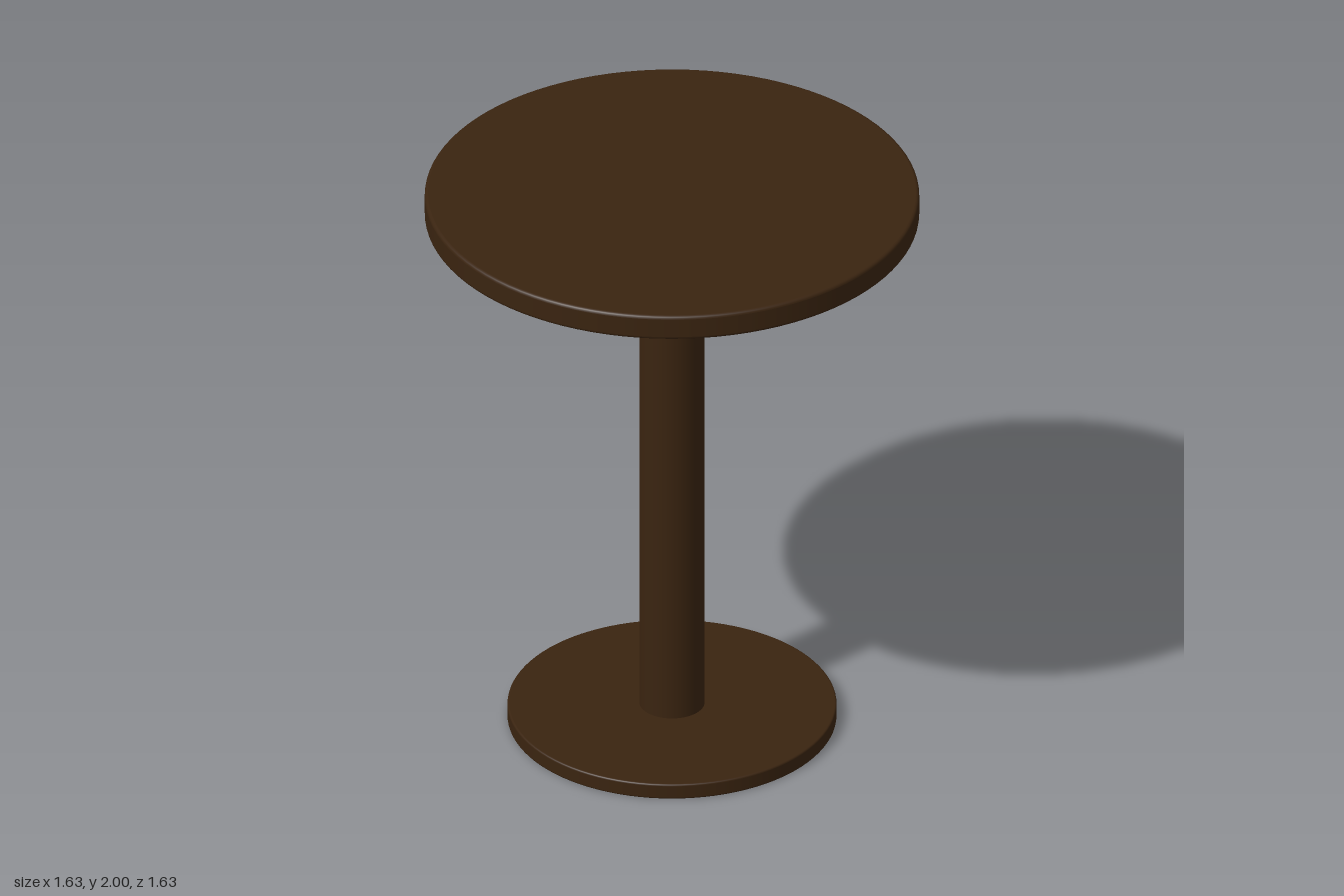
import * as THREE from 'three';

// Disc with softly rounded rims; doubled points keep the flat faces flat-shaded
function roundedDisc(radius, y0, y1, bevel) {
  const points = [new THREE.Vector2(0, y0)];
  const arc = (cy, start) => {
    for (let i = 0; i <= 4; i++) {
      const a = start + (i / 4) * Math.PI / 2;
      const p = new THREE.Vector2(radius - bevel + bevel * Math.cos(a), cy + bevel * Math.sin(a));
      points.push(p);
      if (i === 0 || i === 4) points.push(p.clone());
    }
  };
  arc(y0 + bevel, -Math.PI / 2);
  arc(y1 - bevel, 0);
  points.push(new THREE.Vector2(0, y1));
  return new THREE.LatheGeometry(points, 96);
}

export function createModel() {
  const group = new THREE.Group();
  group.name = 'pedestalTable';
  const wood = new THREE.MeshStandardMaterial({ color: 0x3a2410 });
  wood.name = 'dark wood';

  const add = (name, geometry) => {
    const mesh = new THREE.Mesh(geometry, wood);
    mesh.name = name;
    group.add(mesh);
  };

  // Round foot plate
  add('base', roundedDisc(0.543, 0, 0.055, 0.006));

  // Central post, from the foot plate to the underside of the top
  const column = new THREE.CylinderGeometry(0.108, 0.108, 1.87, 48, 1, true);
  column.translate(0, 0.985, 0);
  add('column', column);

  // Round table top
  add('tableTop', roundedDisc(0.816, 1.912, 2, 0.011));

  return group;
}
